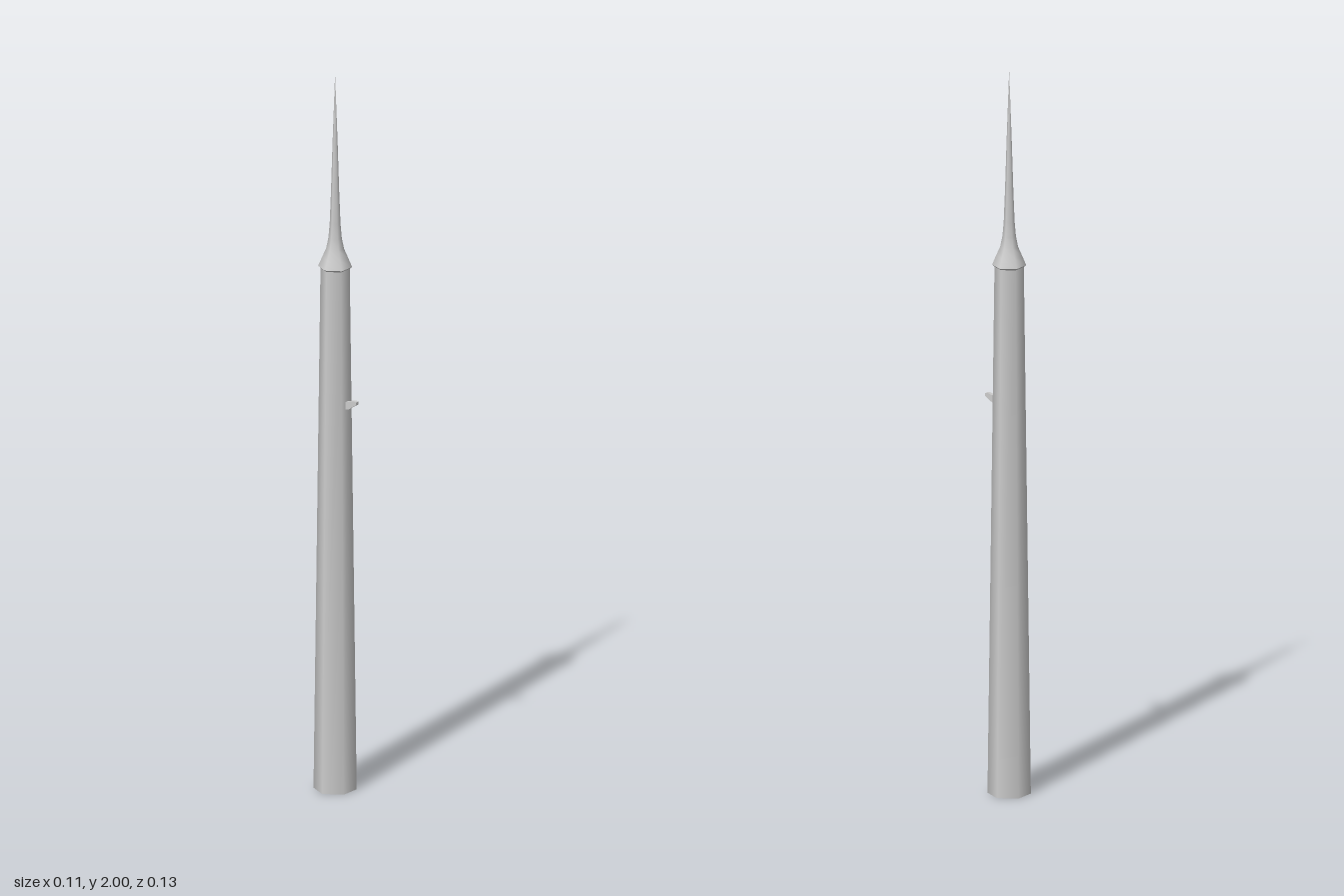
import * as THREE from 'three';

const SIDES = 6;
const TWIST = THREE.MathUtils.degToRad(40.6); // angle of the first corner
const FACE = THREE.MathUtils.degToRad(10.6);  // direction of the face carrying the peg

export function createModel() {
  const group = new THREE.Group();
  const grey = new THREE.MeshStandardMaterial({ color: 0xcccccc });
  const add = (name, geometry) => {
    const mesh = new THREE.Mesh(geometry, grey);
    mesh.name = name;
    group.add(mesh);
    return mesh;
  };
  // Six-sided smooth turning from [radius, height] pairs
  const turn = (points) => new THREE.LatheGeometry(
    points.map(([r, y]) => new THREE.Vector2(r, y)), SIDES, TWIST);

  // Tapered six-sided shaft
  const shaft = new THREE.CylinderGeometry(0.039, 0.0577, 1.46, SIDES, 1, false, TWIST);
  add('shaft', shaft.translate(0, 0.73, 0));

  // Flared collar drawn out into a long needle point
  add('spike', turn([[0.0455, 1.46], [0.035, 1.485], [0.024, 1.51], [0.018, 1.54],
    [0.0145, 1.58], [0.011, 1.67], [0.007, 1.8], [0, 2]]));
  // Underside of the overhanging collar
  add('collarUnderside', turn([[0.037, 1.453], [0.0455, 1.46]]));

  // Small slanted peg on the front face
  const profile = new THREE.Shape([[0.03, 1.067], [0.047, 1.07], [0.073, 1.087],
    [0.073, 1.095], [0.066, 1.097], [0.03, 1.087]].map(([x, y]) => new THREE.Vector2(x, y)));
  const peg = new THREE.ExtrudeGeometry(profile, { depth: 0.011, bevelEnabled: false });
  peg.translate(0, 0, -0.0055).rotateY(FACE - Math.PI / 2);
  add('peg', peg);

  // The peg offsets the shaft slightly towards the back
  group.position.z = -0.0095;
  return group;
}
